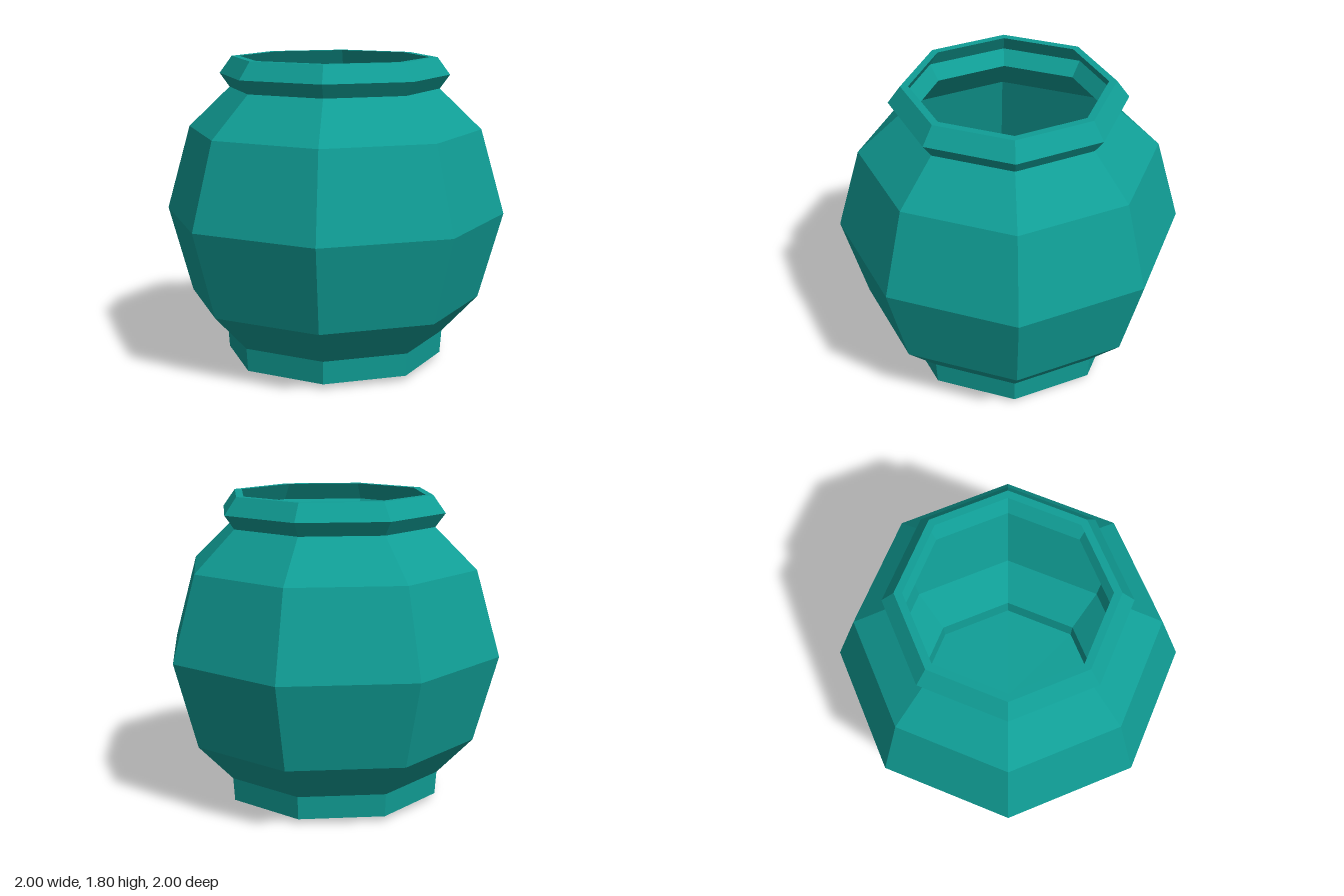
import * as THREE from 'three';

const SIDES = 8;

export function createModel() {
  const group = new THREE.Group();
  group.name = 'pot';
  const teal = new THREE.MeshStandardMaterial({ color: 0x109e96, flatShading: true });
  teal.name = 'teal glaze';

  // Turns a profile of [radius, height] points, outer side walked upwards.
  const turn = (name, profile) => {
    const points = profile.map(([r, y]) => new THREE.Vector2(r, y));
    const mesh = new THREE.Mesh(new THREE.LatheGeometry(points, SIDES), teal);
    mesh.name = name;
    group.add(mesh);
  };

  // Foot with a slightly domed underside
  turn('foot', [[0, 0], [0.64, 0.03], [0.65, 0.165]]);
  // Round belly and shoulder
  turn('belly', [[0.65, 0.165], [0.86, 0.385], [1, 0.89], [0.86, 1.385], [0.615, 1.62]]);
  // Flared collar with a flat lip
  turn('rim', [[0.615, 1.62], [0.673, 1.7], [0.6, 1.8], [0.555, 1.8]]);
  // Hollow inside, following the outer wall
  turn('inside', [
    [0.555, 1.8], [0.62, 1.7], [0.557, 1.615], [0.81, 1.37], [0.95, 0.89],
    [0.815, 0.41], [0.605, 0.19], [0.595, 0.08], [0, 0.06],
  ]);

  return group;
}
